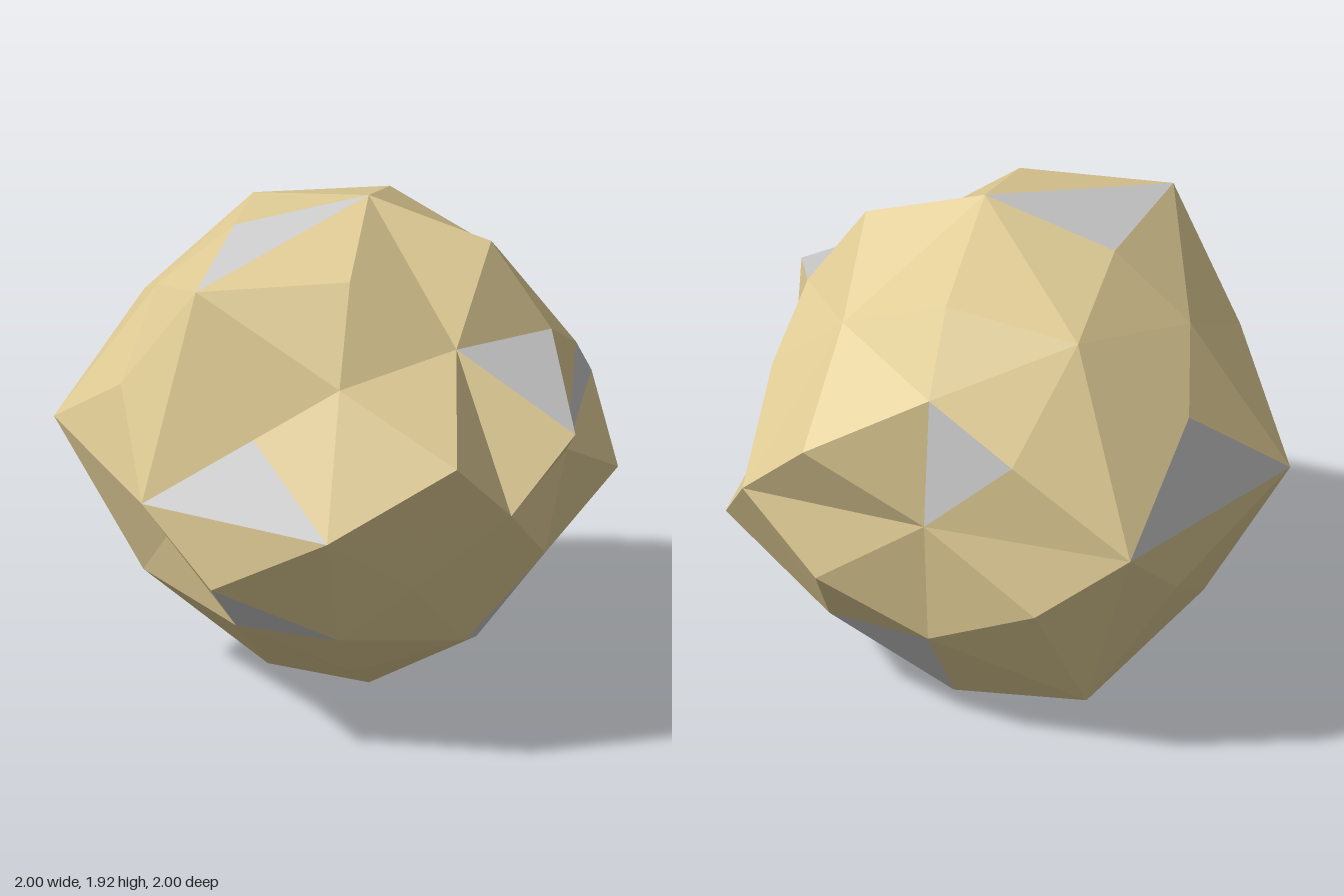
import * as THREE from 'three';

// Distances from the core, keyed by direction signs (x, y, z)
const tips = { '+00': 0.99, '-00': 1.01, '0+0': 0.95, '0-0': 0.97, '00+': 0.87, '00-': 1.1 };
const edges = {
  '++0': 0.58, '-+0': 0.77, '+-0': 0.635, '--0': 0.59,
  '0++': 0.535, '0+-': 0.705, '0-+': 0.59, '0--': 0.77,
  '+0+': 0.51, '+0-': 0.54, '-0+': 0.685, '-0-': 0.81,
};
const corners = {
  '+++': 0.47, '-++': 0.48, '++-': 0.495, '-+-': 0.545,
  '+-+': 0.44, '--+': 0.495, '+--': 0.505, '---': 0.58,
};
const reach = { ...tips, ...edges, ...corners };

// Middle of each four-sided patch, per octant and axis: [sideways, outward]
const middles = {
  '+++': [[0.29, 0.71], [0.315, 0.8], [0.263, 0.9]],
  '-++': [[0.27, 0.71], [0.31, 0.8], [0.26, 0.895]],
  '++-': [[0.27, 0.89], [0.345, 0.77], [0.31, 0.78]],
  '-+-': [[0.32, 0.87], [0.345, 0.8], [0.37, 0.86]],
  '+-+': [[0.265, 0.915], [0.277, 0.76], [0.295, 0.67]],
  '--+': [[0.272, 0.9], [0.27, 0.76], [0.29, 0.67]],
  '+--': [[0.275, 0.84], [0.275, 0.917], [0.275, 0.885]],
  '---': [[0.28, 0.66], [0.26, 0.92], [0.27, 0.95]],
};

// Grey facets: octant, axis, triangle within the patch
const greyFacets = new Set([
  '+++z2', '+++x3', '-++x3', '-+-y3', '-+-z0',
  '++-z1', '+--y2', '---y1', '+-+y1', '--+x1',
]);

const core = new THREE.Vector3(0.01, 0.97, 0.1);
const sign = (c) => (c === '+' ? 1 : c === '-' ? -1 : 0);

// Keep only the listed axes of an octant and place that point
function point(octant, axes) {
  const key = [0, 1, 2].map((i) => (axes.includes(i) ? octant[i] : '0')).join('');
  return new THREE.Vector3(...[...key].map(sign)).multiplyScalar(reach[key]).add(core);
}

function middle(octant, axis) {
  const [side, out] = middles[octant][axis];
  return new THREE.Vector3(...[0, 1, 2].map((i) => sign(octant[i]) * (i === axis ? out : side))).add(core);
}

function facetMesh(name, points, color) {
  const geometry = new THREE.BufferGeometry().setFromPoints(points);
  geometry.computeVertexNormals();
  const mesh = new THREE.Mesh(geometry, new THREE.MeshStandardMaterial({ color, flatShading: true }));
  mesh.name = name;
  return mesh;
}

export function createModel() {
  const tan = [];
  const grey = [];

  // Each octant has three patches, each split into four triangles
  for (const octant of Object.keys(middles)) {
    const mirrored = [...octant].map(sign).reduce((a, b) => a * b) < 0;
    for (let axis = 0; axis < 3; axis++) {
      const next = (axis + 1) % 3;
      const last = (axis + 2) % 3;
      const rim = [[axis], [axis, next], [0, 1, 2], [axis, last]].map((axes) => point(octant, axes));
      const centre = middle(octant, axis);
      for (let i = 0; i < 4; i++) {
        const a = rim[i];
        const b = rim[(i + 1) % 4];
        const list = greyFacets.has(octant + 'xyz'[axis] + i) ? grey : tan;
        list.push(centre, ...(mirrored ? [b, a] : [a, b]));
      }
    }
  }

  const group = new THREE.Group();
  group.name = 'rock';
  group.add(facetMesh('sandyFacets', tan, 0xe0cc95));
  group.add(facetMesh('greyFacets', grey, 0xcccccc));
  return group;
}
